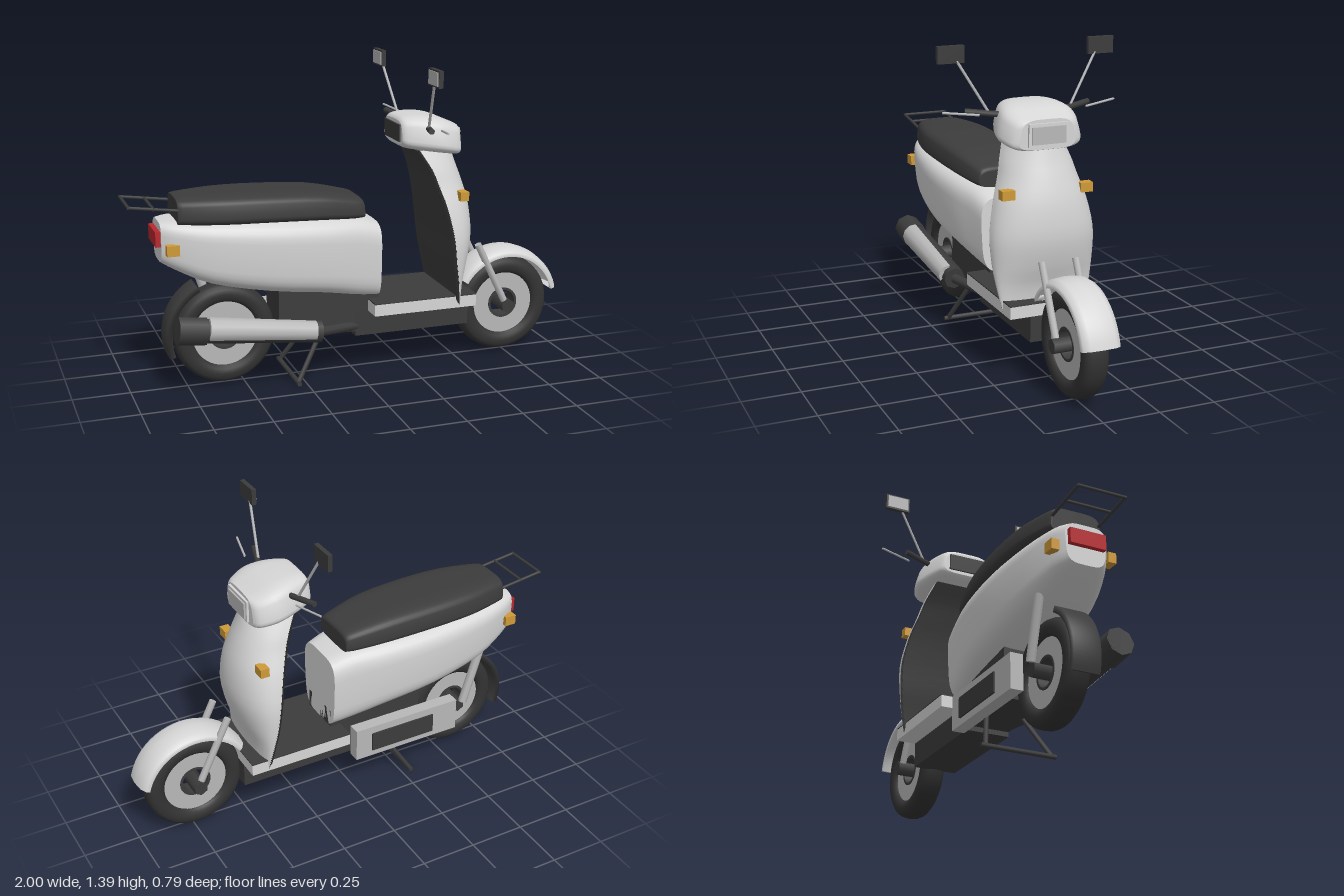
import * as THREE from 'three';

const mat = (name, color, side = THREE.FrontSide) => {
  const m = new THREE.MeshStandardMaterial({ color, side });
  m.name = name;
  return m;
};

export function createModel() {
  const paint = mat('light grey paint', 0xd6d6d6, THREE.DoubleSide);
  const dark = mat('dark plastic', 0x3c3c3c, THREE.DoubleSide);
  const rubber = mat('black rubber', 0x333333);
  const metal = mat('silver metal', 0xb8b8b8, THREE.DoubleSide);
  const amber = mat('amber lens', 0xcf9a38);
  const red = mat('red lens', 0xb8282e);
  const model = new THREE.Group();
  model.name = 'scooter';

  const add = (name, geo, material, x = 0, y = 0, z = 0) => {
    const m = new THREE.Mesh(geo, material);
    m.name = name;
    m.position.set(x, y, z);
    model.add(m);
    return m;
  };
  // Box from its extents
  const box = (name, material, x0, x1, y0, y1, z0, z1) =>
    add(name, new THREE.BoxGeometry(x1 - x0, y1 - y0, z1 - z0), material, (x0 + x1) / 2, (y0 + y1) / 2, (z0 + z1) / 2);
  // Round rod between two points
  const rod = (name, material, a, b, r, sides = 8, r2 = r) => {
    const p = new THREE.Vector3(...a), q = new THREE.Vector3(...b), d = q.clone().sub(p);
    const m = add(name, new THREE.CylinderGeometry(r2, r, d.length(), sides), material);
    m.position.copy(p).add(q).multiplyScalar(0.5);
    m.quaternion.setFromUnitVectors(new THREE.Vector3(0, 1, 0), d.normalize());
    return m;
  };
  // Skin over rings of points, optionally closed around and capped
  const skin = (rings, closed) => {
    const n = rings[0].length, pos = rings.flat(2), idx = [];
    for (let i = 0; i < rings.length - 1; i++)
      for (let j = 0; j < (closed ? n : n - 1); j++) {
        const k = (j + 1) % n, a = i * n + j, b = i * n + k;
        idx.push(a, b, b + n, a, b + n, a + n);
      }
    if (closed) [rings[0], rings[rings.length - 1]].forEach((ring, e) => {
      const s = pos.length / 3;
      pos.push(...ring.flat());
      for (let j = 1; j < n - 1; j++) idx.push(s, s + (e ? j : j + 1), s + (e ? j + 1 : j));
    });
    const g = new THREE.BufferGeometry();
    g.setAttribute('position', new THREE.Float32BufferAttribute(pos, 3));
    g.setIndex(idx);
    g.computeVertexNormals();
    return g;
  };
  const pw = (v, e) => Math.sign(v) * Math.abs(v) ** e;
  // Resample section rows smoothly
  const smooth = (rows, steps) => {
    const out = [];
    for (let i = 0; i < rows.length - 1; i++)
      for (let s = 0; s < steps; s++) {
        const at = k => rows[Math.min(rows.length - 1, Math.max(0, i + k))];
        const t = s / steps;
        out.push(rows[i].map((_, c) => THREE.MathUtils.clamp(
          0.5 * (2 * at(0)[c] + (at(1)[c] - at(-1)[c]) * t + (2 * at(-1)[c] - 5 * at(0)[c] + 4 * at(1)[c] - at(2)[c]) * t * t
            + (3 * at(0)[c] - at(-1)[c] - 3 * at(1)[c] + at(2)[c]) * t ** 3), -2, 2)));
      }
    return [...out, rows[rows.length - 1]];
  };
  // Rounded-box sections along x: [x, bottom, top, halfWidth]
  const hull = (rows, power, taper) => skin(smooth(rows, 3).map(([x, b, t, w]) =>
    Array.from({ length: 36 }, (_, j) => {
      const a = j / 36 * Math.PI * 2, u = pw(Math.cos(a), 2 / power);
      return [x, (b + t) / 2 + u * (t - b) / 2, pw(Math.sin(a), 2 / power) * w * (1 + taper * u)];
    })), true);

  // Rear body and seat
  add('rearBody', hull([[-0.86, 0.585, 0.76, 0.09], [-0.8, 0.55, 0.765, 0.125], [-0.65, 0.48, 0.76, 0.165],
    [-0.4, 0.425, 0.75, 0.19], [-0.15, 0.39, 0.735, 0.18], [0, 0.36, 0.72, 0.155], [0.1, 0.345, 0.69, 0.138]], 4, 0.06), paint);
  add('seat', hull([[-0.79, 0.745, 0.855, 0.105], [-0.77, 0.745, 0.862, 0.12], [-0.6, 0.74, 0.868, 0.16], [-0.4, 0.735, 0.864, 0.17],
    [-0.18, 0.725, 0.85, 0.16], [-0.03, 0.715, 0.82, 0.135], [0.02, 0.715, 0.805, 0.122], [0.03, 0.715, 0.79, 0.115]], 4, -0.06), dark);

  // Front shield shell and inner panel: [y, back x, front x, halfWidth]
  const shield = smooth([[0.3, 0.45, 0.47, 0.19], [0.4, 0.437, 0.485, 0.212], [0.5, 0.42, 0.52, 0.226], [0.62, 0.405, 0.545, 0.23],
    [0.75, 0.38, 0.537, 0.205], [0.85, 0.35, 0.51, 0.172], [0.92, 0.325, 0.485, 0.152], [1, 0.28, 0.46, 0.12]], 3);
  add('frontShield', skin(shield.map(([y, b, f, w]) => Array.from({ length: 25 }, (_, j) => {
    const a = j / 24 * Math.PI;
    return [b + (f - b) * Math.sin(a) ** 0.9, y, w * Math.cos(a)];
  })), false), paint);
  add('shieldInnerPanel', skin(shield.map(([y, b, , w]) =>
    [[b - 0.012, y, -w * 0.97], [b - 0.012, y, w * 0.97], [b + 0.002, y, w], [b + 0.002, y, -w]]), true), dark);

  // Handlebar head with lamp and dashboard
  add('handlebarHead', hull([[0.2, 1.025, 1.13, 0.11], [0.22, 1.01, 1.146, 0.128], [0.3, 0.995, 1.15, 0.158],
    [0.38, 0.983, 1.137, 0.172], [0.45, 0.972, 1.108, 0.15], [0.47, 0.975, 1.1, 0.12]], 4, -0.12), paint);
  box('dashboard', dark, 0.192, 0.205, 1.04, 1.115, -0.09, 0.09);
  box('headlampFrame', paint, 0.46, 0.48, 0.99, 1.085, -0.087, 0.087);
  box('headlampLens', metal, 0.478, 0.487, 1, 1.072, -0.075, 0.075);

  // Floor, underbody and engine
  box('floorBoard', paint, 0.05, 0.53, 0.29, 0.342, -0.19, 0.19);
  box('floorMat', dark, 0.05, 0.53, 0.342, 0.347, -0.19, 0.19);
  box('underbody', dark, -0.01, 0.53, 0.178, 0.29, -0.1, 0.1);
  box('engine', dark, -0.36, 0.1, 0.2, 0.43, -0.1, 0.1);
  box('transmissionCase', metal, -0.53, 0, 0.165, 0.32, -0.162, -0.105);
  box('transmissionCover', dark, -0.4, -0.08, 0.195, 0.285, -0.17, -0.162);
  rod('rearShock', metal, [-0.6, 0.26, -0.11], [-0.68, 0.52, -0.11], 0.02);

  // Wheels
  const ring = (pts) => new THREE.LatheGeometry(pts.map(p => new THREE.Vector2(...p)), 40).rotateX(Math.PI / 2);
  const tire = ring(Array.from({ length: 17 }, (_, i) => {
    const a = Math.PI + i / 16 * Math.PI * 2;
    return [0.181 + 0.044 * pw(Math.cos(a), 0.8), 0.055 * pw(Math.sin(a), 0.8)];
  }));
  const band = (r0, r1, h) => {
    const s = new THREE.Shape().absarc(0, 0, r1, 0, Math.PI * 2);
    s.holes.push(new THREE.Path().absarc(0, 0, r0, 0, Math.PI * 2));
    return new THREE.ExtrudeGeometry(s, { depth: 2 * h, bevelEnabled: false, curveSegments: 24 }).translate(0, 0, -h);
  };
  for (const [name, x] of [['front', 0.735], ['rear', -0.585]]) {
    add(name + 'Tire', tire, rubber, x, 0.235);
    add(name + 'Rim', band(0.07, 0.146, 0.035), metal, x, 0.235);
    add(name + 'HubRing', band(0.06, 0.071, 0.038), dark, x, 0.235);
    rod(name + 'Axle', dark, [x, 0.235, -0.1], [x, 0.235, 0.1], 0.033, 6);
  }

  // Mudguards swept round the wheels: profile of [radius, z]
  const guard = (name, x, profile, from, to, material) => add(name, skin(Array.from({ length: 21 }, (_, i) => {
    const a = THREE.MathUtils.degToRad(from + (to - from) * i / 20);
    return profile.map(([r, z]) => [r * Math.cos(a), r * Math.sin(a), z]);
  }), true), material, x, 0.235);
  guard('frontMudguard', 0.735, [[0.232, 0.085], [0.25, 0.08], [0.265, 0.055], [0.271, 0], [0.265, -0.055], [0.25, -0.08],
    [0.232, -0.085], [0.232, -0.078], [0.257, -0.05], [0.263, 0], [0.257, 0.05], [0.232, 0.078]].reverse(), 14, 148, paint);
  guard('rearMudguard', -0.585, [[0.235, -0.06], [0.262, -0.06], [0.262, 0.06], [0.235, 0.06]], 118, 199, dark);

  // Exhaust with heat shield
  const back = [-0.82, 0.315, 0.165], front = [-0.19, 0.238, 0.155];
  rod('muffler', dark, front, back, 0.05, 8, 0.057);
  rod('mufflerCap', dark, [-0.7, 0.3, 0.165], back, 0.062);
  rod('exhaustPipe', dark, front, [0, 0.22, 0.08], 0.022);
  const heat = rod('heatShield', metal, [-0.22, 0.25, 0.172], [-0.69, 0.308, 0.178], 0.052);
  heat.geometry = new THREE.CylinderGeometry(0.056, 0.046, 0.475, 6, 1, false, -0.5, 2.1).rotateY(0);
  heat.quaternion.identity();
  heat.rotation.z = Math.PI / 2 - 0.123;
  heat.geometry.dispose();
  // Outer half of a tube, bulging to +z and upward
  heat.geometry = new THREE.CylinderGeometry(0.056, 0.046, 0.475, 4, 1, false, -0.6, 2.3);

  // Paired parts
  for (const s of [1, -1]) {
    rod('fork', metal, [0.735, 0.235, s * 0.076], [0.585, 0.54, s * 0.076], 0.016);
    rod('grip', dark, [0.31, 1.1, s * 0.14], [0.267, 1.115, s * 0.28], 0.013);
    rod('brakeLever', metal, [0.33, 1.108, s * 0.24], [0.297, 1.123, s * 0.388], 0.005, 6);
    rod('mirrorStem', metal, [0.292, 1.11, s * 0.185], [0.262, 1.33, s * 0.315], 0.006, 6);
    box('mirror', dark, 0.248, 0.268, 1.315, 1.387, s * 0.337 - 0.058, s * 0.337 + 0.058);
    box('mirrorGlass', metal, 0.244, 0.248, 1.322, 1.38, s * 0.337 - 0.05, s * 0.337 + 0.05);
    box('frontIndicator', amber, 0.44, 0.48, 0.78, 0.82, s * 0.175 - 0.028, s * 0.175 + 0.028);
    box('rearIndicator', amber, -0.847, -0.793, 0.633, 0.678, s * 0.128 - 0.018, s * 0.128 + 0.018);
    rod('standLeg', dark, [-0.16, 0.22, s * 0.08], [-0.29, 0.012, s * 0.15], 0.011);
    rod('rackRail', dark, [-0.74, 0.81, s * 0.105], [-0.993, 0.845, s * 0.105], 0.007);
  }
  rod('standFoot', dark, [-0.29, 0.011, -0.17], [-0.29, 0.011, 0.17], 0.011);
  for (const [x, y] of [[-0.993, 0.845], [-0.89, 0.831]]) rod('rackBar', dark, [x, y, -0.11], [x, y, 0.11], 0.007);
  box('tailLight', red, -0.882, -0.85, 0.66, 0.725, -0.08, 0.08);
  return model;
}
